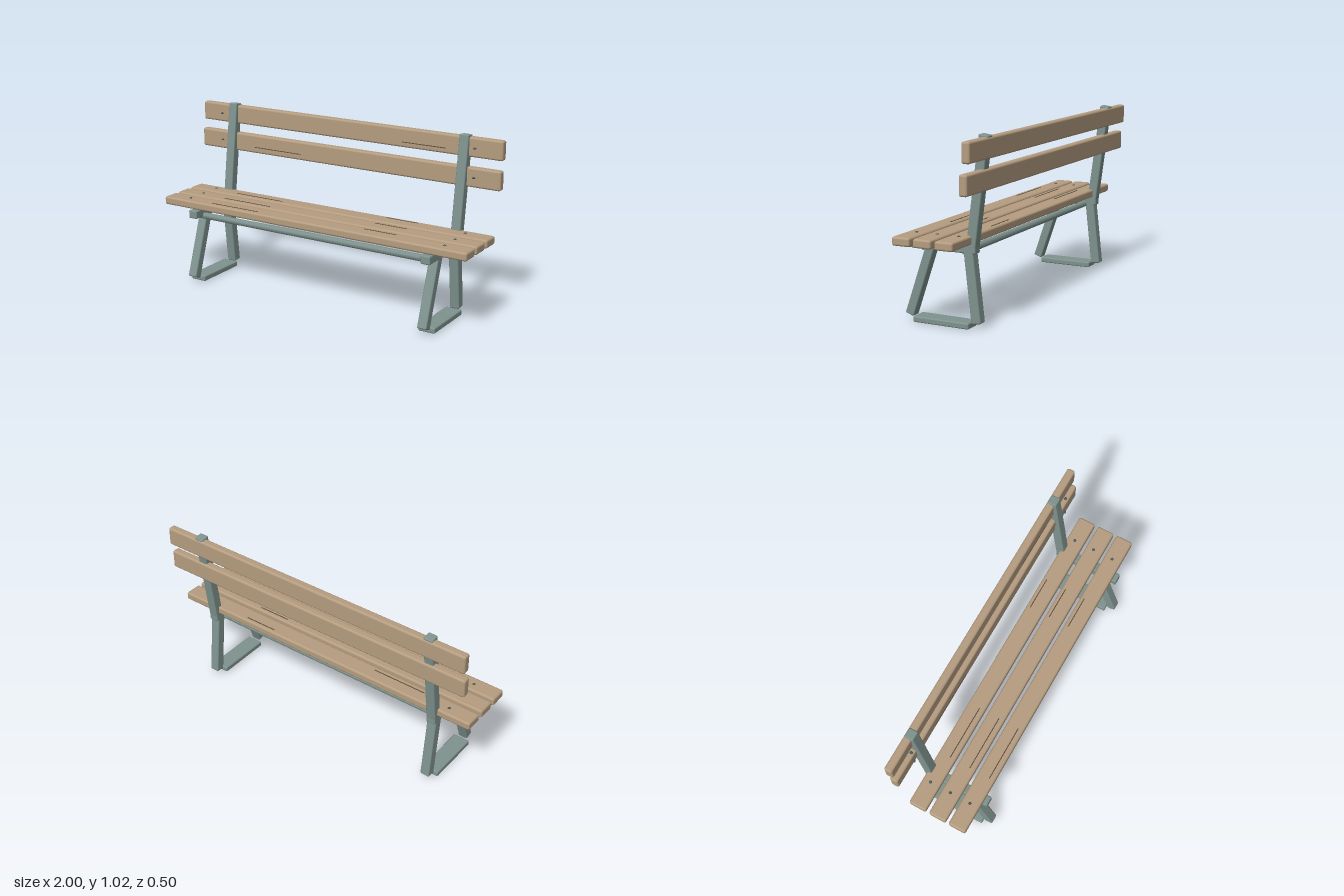
import * as THREE from 'three';
import { RoundedBoxGeometry } from 'three/addons/geometries/RoundedBoxGeometry.js';

const material = (name, color) => {
  const m = new THREE.MeshStandardMaterial({ color });
  m.name = name;
  return m;
};

export function createModel() {
  const wood = material('wood', 0xb59d80);
  const iron = material('painted iron', 0x7f938e);
  const boltMetal = material('bolt metal', 0x4c5a59);
  const grainDark = material('dark grain', 0x5a4a3c);

  const bench = new THREE.Group();
  bench.name = 'bench';

  function add(parent, name, geometry, mat, x, y, z) {
    const mesh = new THREE.Mesh(geometry, mat);
    mesh.name = name;
    mesh.position.set(x, y, z);
    parent.add(mesh);
    return mesh;
  }
  const block = (parent, name, mat, w, h, d, x, y, z, r) =>
    add(parent, name, new RoundedBoxGeometry(w, h, d, 2, r), mat, x, y, z);

  // Sloping bar between two [y, z] points
  function bar(parent, name, [y0, z0], [y1, z1], w, d) {
    const length = Math.hypot(y1 - y0, z1 - z0);
    const mesh = block(parent, name, iron, w, length, d, 0, (y0 + y1) / 2, (z0 + z1) / 2, 0.008);
    mesh.rotation.x = Math.atan2(z1 - z0, y1 - y0);
  }

  // Flattened bolt head
  function bolt(name, x, y, z, rx, ry, rz) {
    add(bench, name, new THREE.SphereGeometry(1, 12, 8), boltMetal, x, y, z).scale.set(rx, ry, rz);
  }

  // Seat slats with bolts and grain lines
  for (const z of [0.152, 0.028, -0.098]) {
    block(bench, 'seatSlat', wood, 2, 0.048, 0.105, 0, 0.471, z, 0.012);
    for (const x of [-0.845, 0.845]) bolt('seatBolt', x, 0.495, z - 0.004, 0.009, 0.005, 0.009);
    add(bench, 'seatGrain', new THREE.BoxGeometry(0.33, 0.004, 0.005), grainDark, -0.505, 0.495, z + 0.02);
    add(bench, 'seatGrain', new THREE.BoxGeometry(0.2, 0.004, 0.005), grainDark, 0.44, 0.495, z - 0.028);
  }

  // Back slats: height, depth position, grain centre x, grain height, grain length
  for (const [y, z, gx, gy, length] of [
    [0.95, -0.228, 0.525, 0.926, 0.27],
    [0.786, -0.212, -0.445, 0.767, 0.33],
  ]) {
    block(bench, 'backSlat', wood, 2, 0.111, 0.047, 0, y, z, 0.012);
    for (const x of [-0.845, 0.845]) bolt('backBolt', x, y + 0.002, -0.182, 0.009, 0.005, 0.009);
    add(bench, 'backGrain', new THREE.BoxGeometry(length, 0.004, 0.004), grainDark, gx, gy, z + 0.0235);
  }

  // Iron end frames
  for (const side of [-1, 1]) {
    const frame = new THREE.Group();
    frame.name = side > 0 ? 'leftFrame' : 'rightFrame';
    frame.position.x = side * 0.773;
    bar(frame, 'backPost', [0.4, -0.139], [1.017, -0.221], 0.057, 0.055);
    bar(frame, 'rearLeg', [0.455, -0.124], [0.03, -0.172], 0.057, 0.055);
    bar(frame, 'frontLeg', [0.458, 0.083], [0.034, 0.229], 0.057, 0.052);
    block(frame, 'seatSupport', iron, 0.057, 0.049, 0.4, 0, 0.4225, 0.029, 0.008);
    block(frame, 'foot', iron, 0.1, 0.033, 0.333, 0, 0.0185, 0.027, 0.008);
    bench.add(frame);
  }

  // Long stretchers under the seat
  for (const z of [0.15, -0.094]) {
    const geometry = new THREE.CylinderGeometry(0.019, 0.019, 1.55, 8).rotateY(Math.PI / 8).rotateZ(Math.PI / 2);
    add(bench, 'stretcher', geometry, iron, 0, 0.403, z);
  }

  return bench;
}
